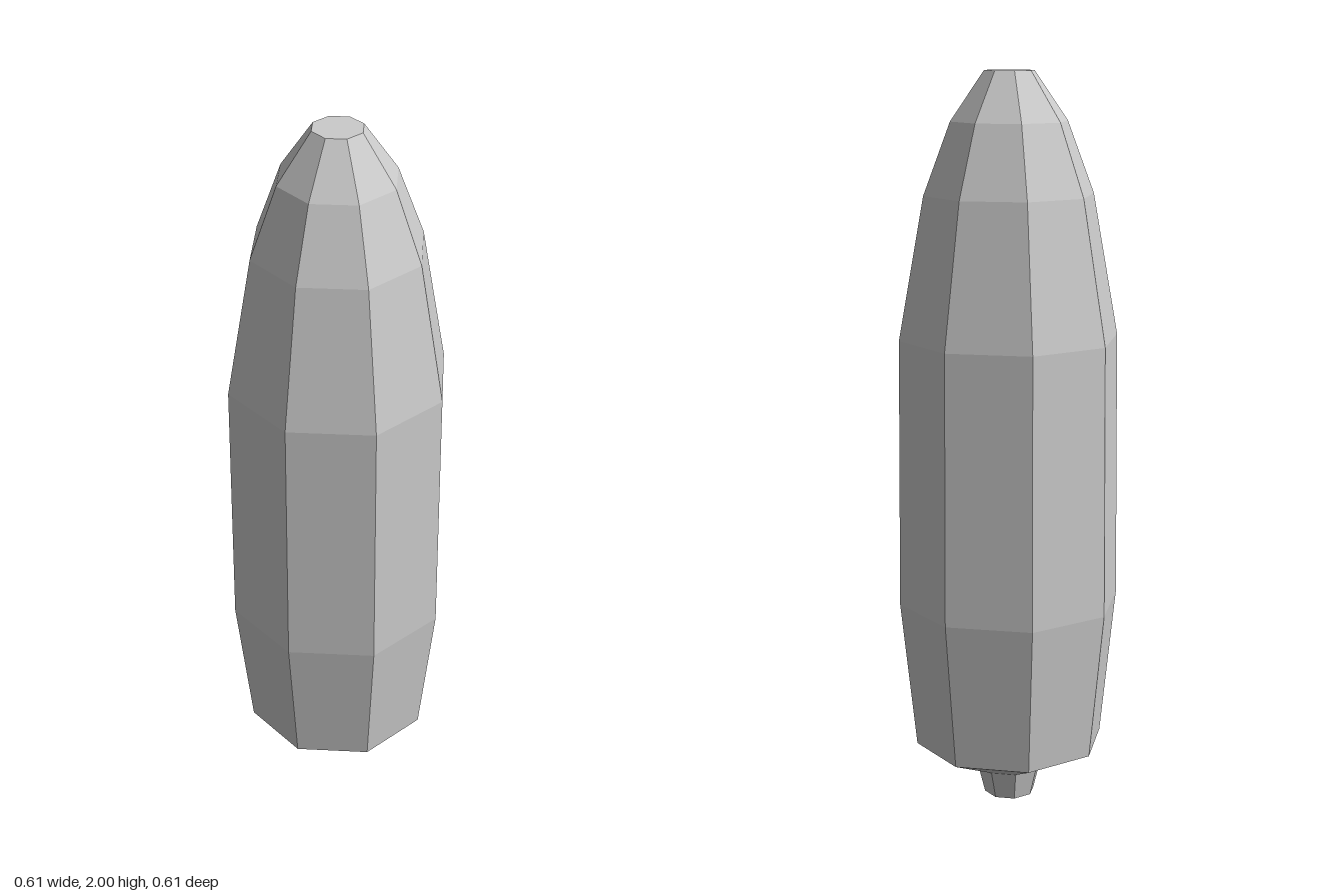
import * as THREE from 'three';

const SIDES = 8;

// Turns [radius, height] pairs, listed from bottom to top, into a faceted solid.
function facetedLathe(name, profile) {
  const points = profile.map(([r, y]) => new THREE.Vector2(r, y));
  const material = new THREE.MeshStandardMaterial({ color: 0xcccccc, flatShading: true });
  const mesh = new THREE.Mesh(new THREE.LatheGeometry(points, SIDES), material);
  mesh.name = name;
  return mesh;
}

export function createModel() {
  const model = new THREE.Group();
  model.name = 'taperedPod';

  // Small stub at the base, widening upwards
  model.add(facetedLathe('stem', [[0, 0], [0.07, 0], [0.09, 0.08]]));

  // Long body with a shallow underside and a blunt, tapering tip
  model.add(facetedLathe('body', [
    [0.09, 0.08],
    [0.262, 0.16],
    [0.305, 0.57],
    [0.298, 1.3],
    [0.229, 1.68],
    [0.157, 1.87],
    [0.067, 2],
    [0, 2],
  ]));

  return model;
}
